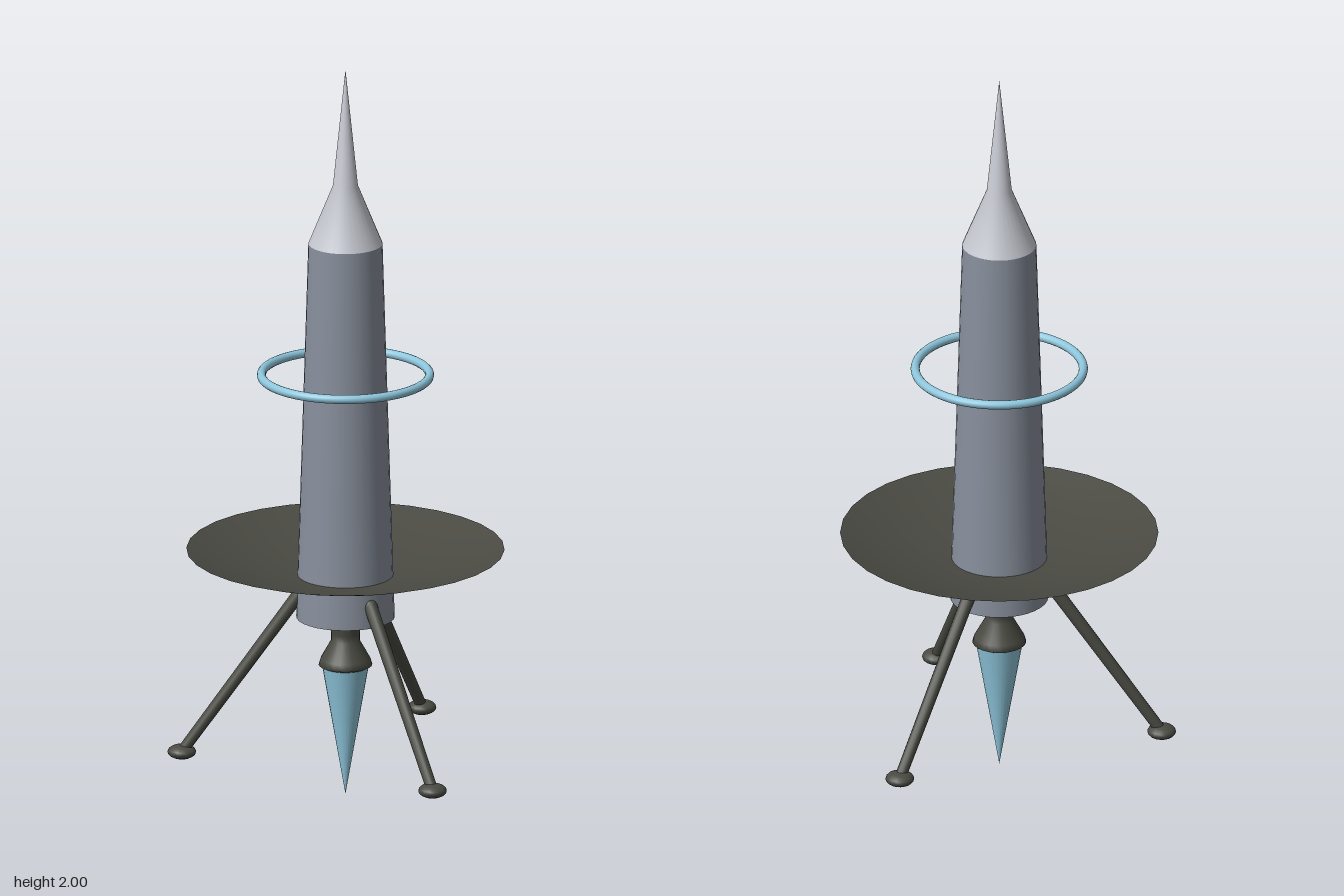
import * as THREE from 'three';

const V = (x, y) => new THREE.Vector2(x, y);
const colour = (name, hex) => {
  const m = new THREE.MeshStandardMaterial({ color: hex });
  m.name = name;
  return m;
};

export function createModel() {
  const noseGrey = colour('light grey', 0xc6c9d1);
  const hullGrey = colour('hull grey', 0x89909d);
  const dark = colour('dark metal', 0x4a4a43);
  const dishDark = colour('dark dish', 0x4a4a43);
  dishDark.side = THREE.DoubleSide;
  const blue = colour('pale blue', 0x8ec6dc);

  const rocket = new THREE.Group();
  rocket.name = 'rocket';
  const add = (name, geometry, material, parent = rocket) => {
    const mesh = new THREE.Mesh(geometry, material);
    mesh.name = name;
    parent.add(mesh);
    return mesh;
  };

  // Tapered hull and needle nose
  add('hull', new THREE.CylinderGeometry(0.098, 0.13, 1.03, 32), hullGrey).position.y = 1.005;
  add('nose', new THREE.LatheGeometry([V(0.098, 1.52), V(0.033, 1.68), V(0, 2)], 32), noseGrey);

  // Halo ring floating round the hull
  const ring = add('haloRing', new THREE.TorusGeometry(0.222, 0.012, 12, 64), blue);
  ring.rotation.x = Math.PI / 2;
  ring.position.y = 1.157;

  // Shallow open dish
  const dish = [];
  for (let i = 0; i <= 8; i++) {
    const r = 0.09 + (0.42 - 0.09) * i / 8;
    dish.push(V(r, 0.6 + 0.077 * (r / 0.42) ** 2));
  }
  add('dish', new THREE.LatheGeometry(dish, 32), dishDark);

  // Engine nozzle and exhaust flame
  add('nozzle', new THREE.LatheGeometry([
    V(0, 0.352), V(0.06, 0.352), V(0.071, 0.358), V(0.066, 0.375), V(0.038, 0.425),
    V(0.038, 0.445), V(0.045, 0.495),
  ], 24), dark);
  const flame = add('flame', new THREE.ConeGeometry(0.062, 0.357, 24), blue);
  flame.rotation.x = Math.PI;
  flame.position.y = 0.1785;

  // Three splayed legs with round feet
  const top = new THREE.Vector3(0, 0.55, 0.125);
  const foot = new THREE.Vector3(0, 0.122, 0.432);
  const along = foot.clone().sub(top);
  for (let i = 0; i < 3; i++) {
    const leg = new THREE.Group();
    leg.name = 'leg' + (i + 1);
    leg.rotation.y = i * Math.PI * 2 / 3;
    const strut = add('strut', new THREE.CylinderGeometry(0.015, 0.018, along.length(), 12), dark, leg);
    strut.position.copy(top).add(foot).multiplyScalar(0.5);
    strut.quaternion.setFromUnitVectors(new THREE.Vector3(0, 1, 0), along.clone().normalize());
    add('legJoint', new THREE.SphereGeometry(0.018, 12, 8), dark, leg).position.copy(top);
    const pad = add('footPad', new THREE.SphereGeometry(0.038, 16, 10), dark, leg);
    pad.scale.y = 0.5;
    pad.position.copy(foot);
    rocket.add(leg);
  }

  rocket.position.z = -0.025;
  const model = new THREE.Group();
  model.name = 'rocketModel';
  model.add(rocket);
  return model;
}
